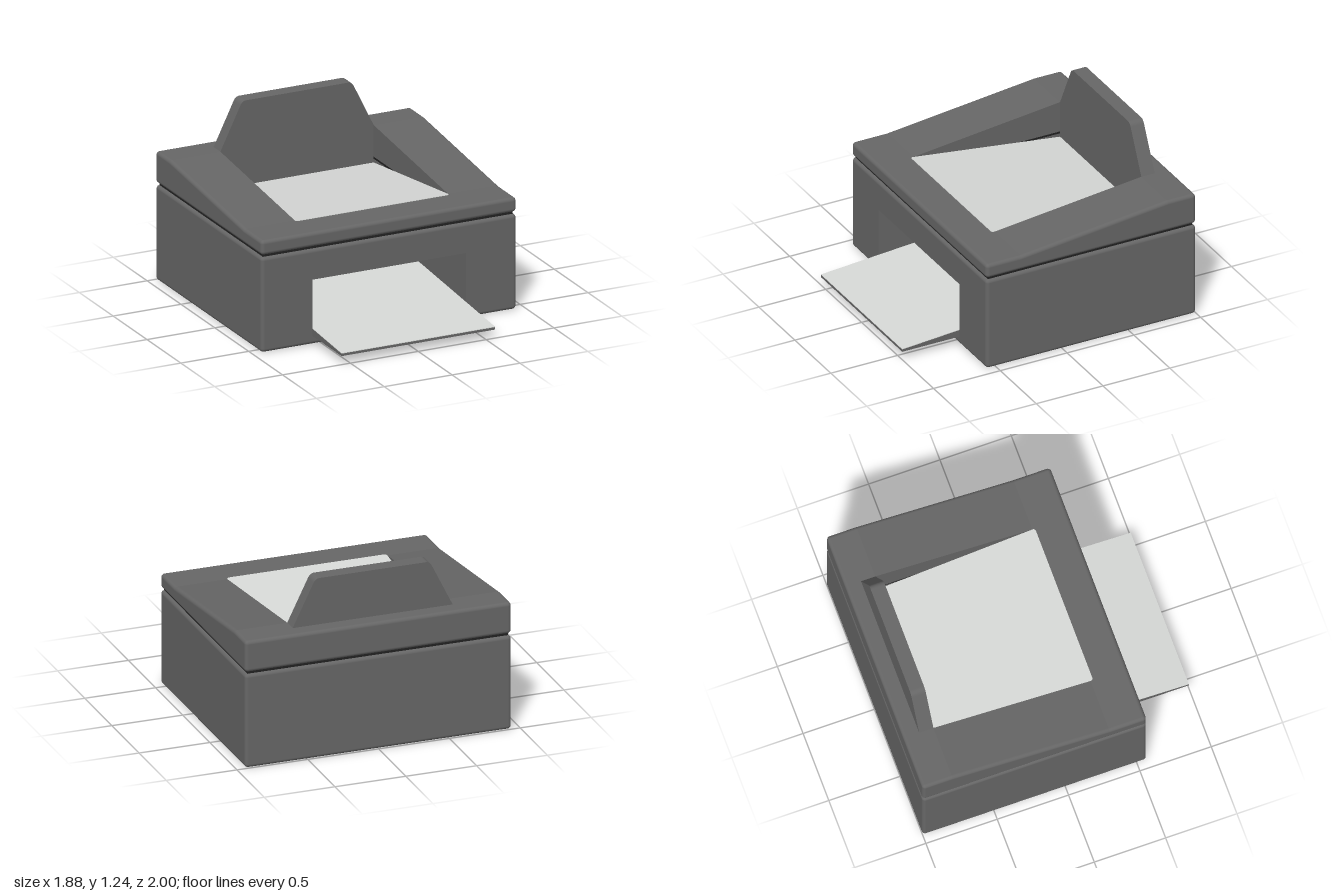
import * as THREE from 'three';

const R = 0.025;      // edge rounding
const INNER = 0.565;  // half width of the recess and the slot
const OUTER = 0.94;   // half width of the housing
const STEPS = 6;

// Outline from corners [z, y, rounded], counter-clockwise; keeps a centre, an offset and a normal per point
function outline(corners) {
  const n = corners.length;
  const normal = (a, b) => new THREE.Vector2(b[1] - a[1], a[0] - b[0]).normalize();
  return corners.flatMap((p, i) => {
    const n1 = normal(corners[(i + n - 1) % n], p);
    const n2 = normal(p, corners[(i + 1) % n]);
    const miter = n1.clone().add(n2).divideScalar(1 + n1.dot(n2));
    const centre = new THREE.Vector2(p[0], p[1]).addScaledVector(miter, -R);
    if (!p[2]) return [n1, n2].map((nn) => ({ centre, offset: miter, normal: nn }));
    const start = n1.angle();
    const turn = Math.atan2(n1.cross(n2), n1.dot(n2));
    return Array.from({ length: STEPS + 1 }, (_, k) => {
      const a = start + (turn * k) / STEPS;
      const v = new THREE.Vector2(Math.cos(a), Math.sin(a));
      return { centre, offset: v, normal: v };
    });
  });
}

// Joins copies of an outline along x; each station is [x, angle of the edge rounding]
function loft(corners, stations, side = 1) {
  const loop = outline(corners);
  const n = loop.length;
  const pos = [], nor = [], idx = [];
  const tri = (a, b, c) => (side > 0 ? idx.push(a, b, c) : idx.push(a, c, b));
  const section = (angle) =>
    loop.map((p) => p.centre.clone().addScaledVector(p.offset, R * Math.cos(angle)));

  stations.forEach(([x, angle], k) => {
    section(angle).forEach((p, i) => {
      const m = loop[i].normal, c = Math.cos(angle);
      pos.push(x * side, p.y, p.x);
      nor.push(Math.sin(angle) * side, m.y * c, m.x * c);
      if (k === 0) return;
      const a = (k - 1) * n + i, b = (k - 1) * n + ((i + 1) % n);
      tri(a, a + n, b);
      tri(b, a + n, b + n);
    });
  });

  // End caps
  [[stations[0], -1], [stations[stations.length - 1], 1]].forEach(([[x, angle], dir]) => {
    const pts = section(angle), base = pos.length / 3;
    pts.forEach((p) => {
      pos.push(x * side, p.y, p.x);
      nor.push(dir * side, 0, 0);
    });
    THREE.ShapeUtils.triangulateShape(pts, []).forEach(([a, b, c]) =>
      dir < 0 ? tri(base + a, base + b, base + c) : tri(base + a, base + c, base + b));
  });

  const g = new THREE.BufferGeometry();
  g.setAttribute('position', new THREE.Float32BufferAttribute(pos, 3));
  g.setAttribute('normal', new THREE.Float32BufferAttribute(nor, 3));
  g.setIndex(idx);
  return g;
}

export function createModel() {
  const model = new THREE.Group();
  model.name = 'printer';
  const material = (name, color) => {
    const m = new THREE.MeshStandardMaterial({ color });
    m.name = name;
    return m;
  };
  const grey = material('housing grey', 0x666666);
  const dark = material('seam dark grey', 0x222222);
  const white = material('paper white', 0xd6d8d6);
  const add = (name, geometry, mat) => {
    const mesh = new THREE.Mesh(geometry, mat);
    mesh.name = name;
    model.add(mesh);
    return mesh;
  };

  const across = [[-INNER, 0], [INNER, 0]];
  const rounded = [[INNER, 0]];
  for (let i = 0; i <= STEPS; i++) {
    const a = (i / STEPS) * Math.PI / 2;
    rounded.push([OUTER - R + R * Math.sin(a), a]);
  }

  // Left and right sides of the body and the sloping lid
  const bodySide = [[0.57, 0, 1], [0.57, 0.668, 1], [-1, 0.668, 1], [-1, 0, 1]];
  const lidSide = [[0.57, 0.683, 1], [0.57, 0.785, 1], [0.31, 0.785], [-0.79, 0.905],
    [-1, 0.905, 1], [-1, 0.683, 1]];
  [['left', 1], ['right', -1]].forEach(([name, side]) => {
    add(`${name}BodySide`, loft(bodySide, rounded, side), grey);
    add(`${name}LidSide`, loft(lidSide, rounded, side), grey);
  });

  // Middle of the body with the output slot at the front
  add('bodyMiddle', loft([[0.57, 0, 1], [0.57, 0.06], [-0.44, 0.06], [-0.44, 0.38], [0.57, 0.455],
    [0.57, 0.668, 1], [-0.5, 0.668], [-0.5, 0.6], [-0.9, 0.6], [-0.9, 0.668],
    [-1, 0.668, 1], [-1, 0, 1]], across), grey);

  // Middle of the lid, in front of and behind the paper recess
  add('lidFront', loft([[0.57, 0.683, 1], [0.57, 0.785, 1], [0.33, 0.785], [-0.457, 0.683]], across), grey);
  add('lidBack', loft([[-0.89, 0.683], [-0.89, 0.905], [-1, 0.905, 1], [-1, 0.683, 1]], across), grey);

  // Dark core seen in the seam between body and lid: [x, z, width, depth]
  [[0.743, -0.215, 0.354, 1.53], [-0.743, -0.215, 0.354, 1.53],
    [0, 0.44, 1.14, 0.22], [0, -0.94, 1.14, 0.08]].forEach(([x, z, w, d]) => {
    add('seamCore', new THREE.BoxGeometry(w, 0.08, d), dark).position.set(x, 0.68, z);
  });

  // Upright paper support
  const support = new THREE.Shape();
  support.moveTo(-INNER, 0.6);
  support.lineTo(INNER, 0.6);
  support.lineTo(INNER, 0.905);
  support.lineTo(0.417, 1.207);
  support.quadraticCurveTo(0.403, 1.235, 0.375, 1.235);
  support.lineTo(-0.375, 1.235);
  support.quadraticCurveTo(-0.403, 1.235, -0.417, 1.207);
  support.lineTo(-INNER, 0.905);
  const supportGeometry = new THREE.ExtrudeGeometry(support, { depth: 0.1, bevelEnabled: false });
  add('paperSupport', supportGeometry.translate(0, 0, -0.89), grey);

  // Input paper, sloping down to the support, with rounded front corners
  const length = Math.hypot(1.12, 0.145), c = 0.02;
  const sheet = new THREE.Shape();
  sheet.moveTo(-INNER + c, 0);
  sheet.lineTo(INNER - c, 0);
  sheet.quadraticCurveTo(INNER, 0, INNER, c);
  sheet.lineTo(INNER, length);
  sheet.lineTo(-INNER, length);
  sheet.lineTo(-INNER, c);
  sheet.quadraticCurveTo(-INNER, 0, -INNER + c, 0);
  const input = add('inputPaper',
    new THREE.ExtrudeGeometry(sheet, { depth: 0.006, bevelEnabled: false }), white);
  input.rotation.x = -Math.PI / 2 - Math.atan2(0.145, 1.12);
  input.position.set(0, 0.782, 0.33);

  // Output tray with its paper
  add('outputTray', loft([[1, 0.06], [1, 0.077], [-0.44, 0.186], [-0.44, 0.06]], across), grey);
  add('outputPaper', loft([[1, 0.077], [1, 0.081], [-0.44, 0.19], [-0.44, 0.186]], across), white);

  return model;
}
